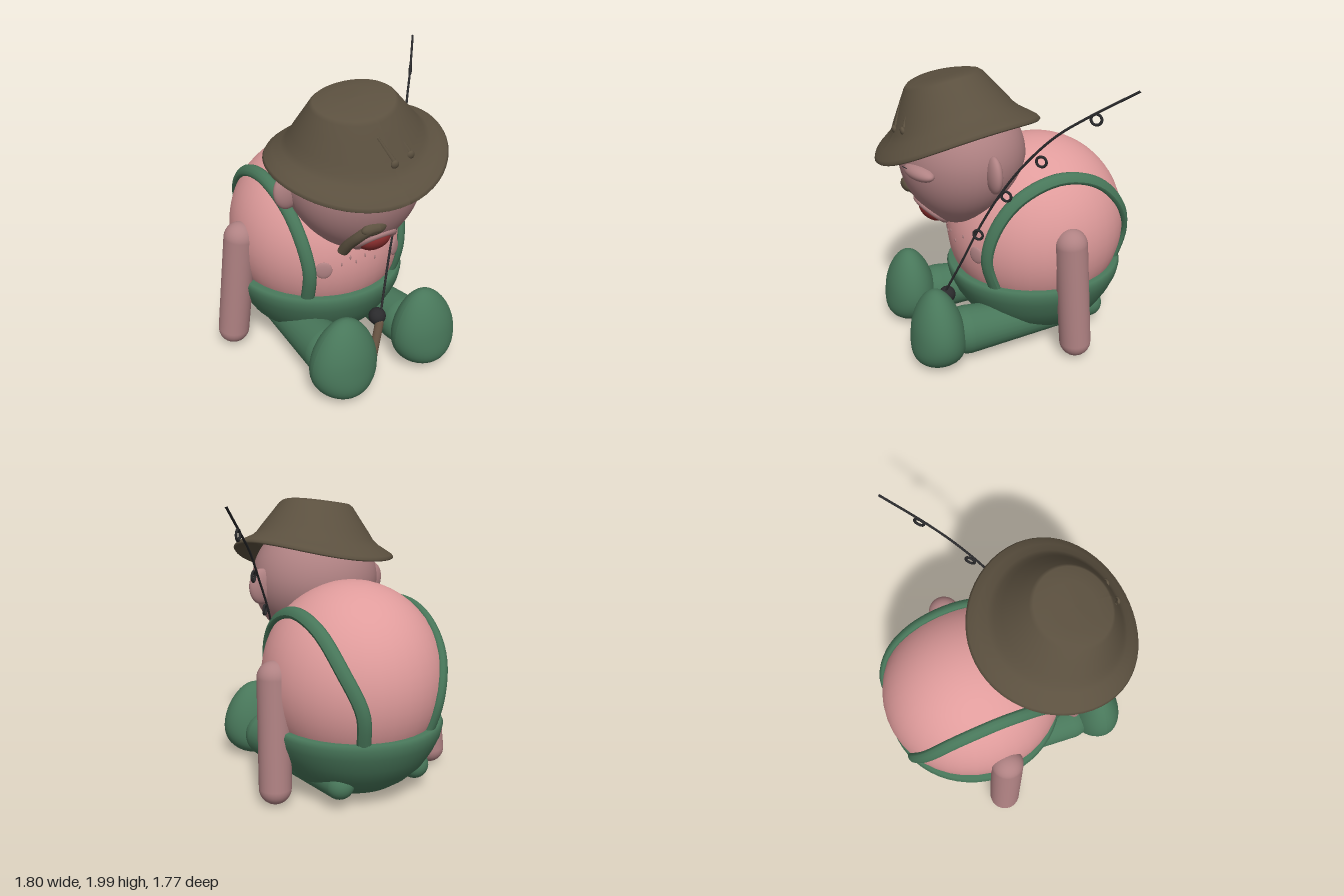
import * as THREE from 'three';
import { mergeGeometries } from 'three/addons/utils/BufferGeometryUtils.js';

const V = (x, y, z) => new THREE.Vector3(x, y, z);
const mat = (name, color, side = THREE.FrontSide) => {
  const m = new THREE.MeshStandardMaterial({ color, side });
  m.name = name;
  return m;
};

export function createModel() {
  const model = new THREE.Group();
  const skin = mat('pink skin', 0xe09c9c);
  const dusk = mat('dusky skin', 0xb08283);
  const green = mat('green cloth', 0x48775a, THREE.DoubleSide);
  const felt = mat('brown felt', 0x5b503f, THREE.DoubleSide);
  const red = mat('red tongue', 0x8e3030);
  const black = mat('black rod', 0x2a2a2c);
  const wood = mat('brown handle', 0x655140);

  const add = (name, geo, material, parent = model) => {
    const m = new THREE.Mesh(geo, material);
    m.name = name;
    parent.add(m);
    return m;
  };
  const ball = (name, p, r, material, parent = model) => {
    const m = add(name, new THREE.SphereGeometry(1, 40, 28), material, parent);
    m.position.set(...p);
    m.scale.set(...r);
    return m;
  };
  // Tapered limb with rounded ends
  const limb = (name, a, b, ra, rb, material, parent = model) => {
    const len = a.distanceTo(b);
    const geo = mergeGeometries([
      new THREE.CylinderGeometry(rb, ra, len, 28, 1, true),
      new THREE.SphereGeometry(ra, 28, 18).translate(0, -len / 2, 0),
      new THREE.SphereGeometry(rb, 28, 18).translate(0, len / 2, 0),
    ]);
    const m = add(name, geo, material, parent);
    m.position.copy(a).add(b).multiplyScalar(0.5);
    m.quaternion.setFromUnitVectors(V(0, 1, 0), b.clone().sub(a).normalize());
    return m;
  };
  const warp = (geo, rule) => {
    const p = geo.attributes.position;
    for (let i = 0; i < p.count; i++) {
      const v = V(0, 0, 0).fromBufferAttribute(p, i);
      rule(v);
      p.setXYZ(i, v.x, v.y, v.z);
    }
    geo.computeVertexNormals();
    return geo;
  };
  const lathe = (pts) => new THREE.LatheGeometry(pts.map(([x, y]) => new THREE.Vector2(x, y)), 56);

  // Torso
  const c = V(-0.1, 0.8, -0.24), R = V(0.617, 0.66, 0.645);
  ball('torso', c.toArray(), R.toArray(), skin);
  const onTorso = (x, y) => c.z + R.z * Math.sqrt(Math.max(0, 1 - ((x - c.x) / R.x) ** 2 - ((y - c.y) / R.y) ** 2));

  // Trousers seat
  const seat = add('trousers', lathe([[0, 0.04], [0.2, 0.05], [0.34, 0.08], [0.42, 0.14], [0.505, 0.23],
    [0.565, 0.33], [0.608, 0.43], [0.622, 0.5], [0.607, 0.53], [0.5, 0.53]]), green);
  seat.position.set(-0.105, 0, -0.235);
  seat.scale.z = 1.04;

  // Legs, feet, braces and nipples, mirrored about the torso
  const footGeo = warp(new THREE.SphereGeometry(1, 40, 28), (v) => {
    const k = 1 - 0.2 * v.y, flat = 1 + 0.4 * Math.min(0, v.y) ** 2;
    v.set(v.x * 0.232 * k, v.y * 0.279, v.z * 0.177 * k * flat);
  });
  for (const s of [1, -1]) {
    const side = s > 0 ? 'left' : 'right';
    const mx = (d) => -0.11 + s * d;
    limb(side + 'Leg', V(mx(0.32), 0.21, 0.42), V(mx(0.31), 0.185, -0.55), 0.17, 0.1, green);
    const foot = add(side + 'Foot', footGeo, green);
    foot.position.set(mx(0.328), 0.291, 0.635);
    foot.rotation.z = s * 0.05;

    // Flat brace following the torso, front to back
    const path = [[0.37, 0.5, 0.24], [0.39, 0.75, 0.31], [0.42, 1, 0.25], [0.45, 1.2, 0.1], [0.45, 1.3, -0.2],
      [0.44, 1.23, -0.5], [0.38, 1, -0.7], [0.3, 0.75, -0.8], [0.28, 0.5, -0.8]].map(([x, y, z]) => {
      const d = V(s * x, y - c.y, z - c.z).divide(R).normalize().multiplyScalar(1.02);
      return d.multiply(R).add(c);
    });
    add(side + 'Brace', warp(new THREE.TubeGeometry(new THREE.CatmullRomCurve3(path), 40, 0.046, 10), (v) => {
      v.sub(c).divide(R);
      const l = v.length();
      v.multiplyScalar((1.02 + (l - 1.02) * 0.6) / l).multiply(R).add(c);
    }), green);

    const nx = -0.1 + s * 0.29;
    ball(side + 'Nipple', [nx, 0.765, onTorso(nx, 0.765)], [0.057, 0.06, 0.015], dusk).rotation.y = s * 0.5;
  }

  // Chest hairs
  for (const [x, y] of [[-0.28, 0.8], [-0.22, 0.84], [-0.18, 0.8], [-0.11, 0.83], [-0.03, 0.79], [0.07, 0.86]]) {
    ball('chestHair', [x, y, onTorso(x, y)], [0.006, 0.014, 0.005], dusk);
  }

  // Arms
  limb('leftArm', V(0.525, 0.13, -0.27), V(0.5, 0.878, -0.225), 0.11, 0.112, dusk);
  limb('rightArm', V(-0.79, 0.13, -0.27), V(-0.715, 0.865, -0.225), 0.11, 0.112, dusk);

  // Head with a narrowed jaw
  const head = add('head', warp(new THREE.SphereGeometry(1, 48, 36), (v) => {
    const low = Math.max(0, -v.y) ** 2;
    v.set(v.x * 0.46 * (1 - 0.14 * low), v.y * (v.y < 0 ? 0.49 : 0.42), v.z * 0.43 * (1 - 0.26 * low) + 0.07 * low);
  }), dusk);
  head.position.set(-0.135, 1.4, 0.3);
  ball('leftEar', [0.33, 1.385, 0.25], [0.092, 0.125, 0.047], dusk);
  ball('rightEar', [-0.6, 1.365, 0.25], [0.092, 0.12, 0.047], dusk);

  // Closed eyes
  for (const s of [1, -1]) {
    const x = -0.115 + s * 0.19;
    const lid = ball('eyelid', [x, 1.38, 0.665], [0.145, 0.052, 0.065], dusk);
    lid.rotation.y = s * 0.3;
    const slit = add('eyeSlit', new THREE.BoxGeometry(0.13, 0.004, 0.006), black);
    slit.position.set(x - s * 0.03, 1.4, 0.727);
    slit.rotation.y = s * 0.3;
  }

  // Open mouth and tongue
  const mouth = new THREE.Group();
  mouth.name = 'mouth';
  mouth.position.set(-0.13, 1.02, 0.53);
  mouth.rotation.x = 0.85;
  model.add(mouth);
  add('lips', new THREE.TorusGeometry(0.115, 0.027, 12, 40), dusk, mouth).scale.set(1.08, 1.05, 1);
  ball('tongue', [0, -0.005, 0.005], [0.108, 0.1, 0.065], red, mouth);

  // Half moustache
  const whisker = new THREE.CatmullRomCurve3([V(-0.21, 1.185, 0.675), V(-0.27, 1.18, 0.665), V(-0.315, 1.13, 0.625),
    V(-0.34, 1.06, 0.56), V(-0.35, 0.985, 0.5)]);
  add('moustache', new THREE.TubeGeometry(whisker, 24, 0.036, 12), felt);
  ball('moustacheTop', [-0.235, 1.18, 0.665], [0.09, 0.044, 0.038], felt);
  ball('moustacheEnd', [-0.35, 0.985, 0.5], [0.036, 0.022, 0.036], felt);

  // Tilted hat with a saddle-shaped brim
  const hat = new THREE.Group();
  hat.name = 'hat';
  hat.position.set(-0.145, 1.55, 0.332);
  hat.rotation.set(0.17, 0, 0.157);
  hat.scale.z = 0.975;
  model.add(hat);
  add('hatShell', warp(lathe([[0.42, 0.06], [0.5, 0.03], [0.575, -0.01], [0.584, 0], [0.572, 0.02], [0.52, 0.055],
    [0.465, 0.09], [0.43, 0.125], [0.395, 0.18], [0.33, 0.275], [0.272, 0.36], [0.25, 0.378], [0.15, 0.388],
    [0, 0.392]]), (v) => {
    v.y += 0.15 * (v.x * v.x - v.z * v.z);
  }), felt, hat);
  for (const x of [0.01, 0.14]) {
    const z = Math.sqrt(0.41 ** 2 - x * x);
    ball('hatEyelet', [x, 0.13, z], [0.028, 0.028, 0.018], felt, hat);
    limb('hatCrease', V(x, 0.15, z - 0.02), V(x - 0.05, 0.28, z - 0.1), 0.016, 0.008, felt, hat);
  }

  // Fishing rod
  const rod = new THREE.CatmullRomCurve3([V(-0.06, 0.33, 0.51), V(0.08, 0.67, 0.4), V(0.2, 0.97, 0.31),
    V(0.3, 1.22, 0.21), V(0.42, 1.45, 0.1), V(0.56, 1.67, -0.05), V(0.7, 1.82, -0.2), V(0.89, 2, -0.42)]);
  add('rod', new THREE.TubeGeometry(rod, 50, 0.008, 8), black);
  limb('rodHandle', V(-0.195, 0.065, 0.6), V(-0.06, 0.33, 0.51), 0.03, 0.03, wood);
  ball('reel', [-0.05, 0.36, 0.47], [0.06, 0.06, 0.06], black);
  for (const p of [[0.205, 0.925, 0.32], [0.345, 1.235, 0.175], [0.51, 1.505, 0.01], [0.73, 1.81, -0.235]]) {
    const ring = add('lineGuide', new THREE.TorusGeometry(0.033, 0.009, 8, 24), black);
    ring.position.set(...p);
    ring.rotation.y = Math.PI / 4;
  }
  return model;
}
